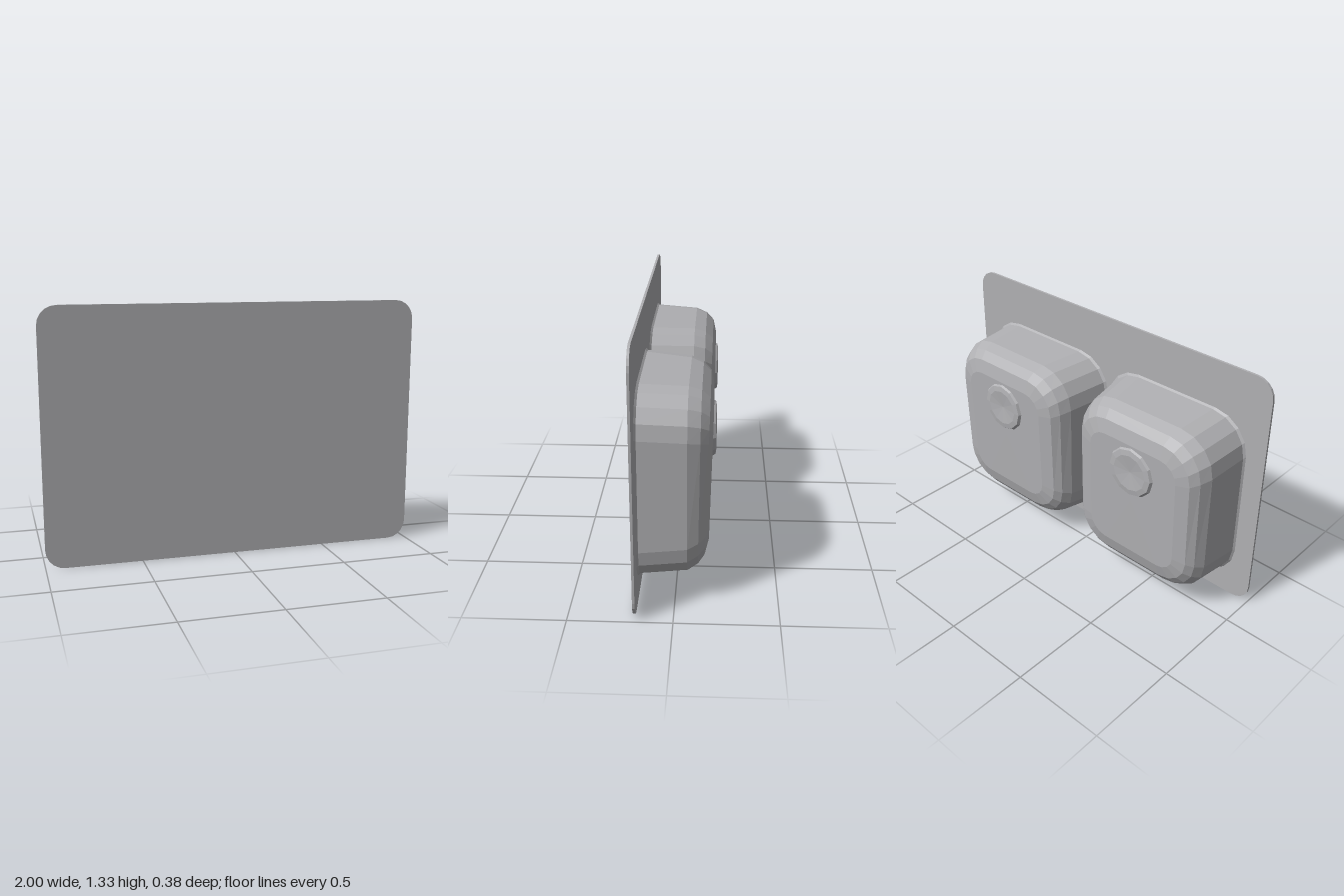
import * as THREE from 'three';

const steel = new THREE.MeshStandardMaterial({ color: 0xb0b0b3, flatShading: true });
steel.name = 'brushedSteel';

// Rounded rectangle as a counter-clockwise list of [x, y]
function roundedLoop(x0, x1, y0, y1, r, segments) {
  const corners = [[x1 - r, y0 + r], [x1 - r, y1 - r], [x0 + r, y1 - r], [x0 + r, y0 + r]];
  const points = [];
  corners.forEach(([cx, cy], c) => {
    for (let i = 0; i <= segments; i++) {
      const a = (c - 1 + i / segments) * Math.PI / 2;
      points.push([cx + r * Math.cos(a), cy + r * Math.sin(a)]);
    }
  });
  return points;
}

// Basin levels from rim to floor: z, inner x, outer x, bottom y, top y, corner radius, floor slope weight
const levels = [
  [0.18, 0.003, 0.895, 0.094, 1.082, 0.2, 0],
  [0.168, 0.015, 0.885, 0.102, 1.072, 0.2, 0],
  [-0.06, 0.055, 0.87, 0.117, 1.058, 0.2, 0],
  [-0.115, 0.08, 0.845, 0.145, 1.035, 0.19, 0.5],
  [-0.15, 0.115, 0.81, 0.185, 0.995, 0.165, 1],
  [-0.168, 0.19, 0.74, 0.26, 0.92, 0.1, 1],
];

function basinGeometry(side) {
  const loops = levels.map(([z, x0, x1, y0, y1, r, slope]) => {
    const loop = roundedLoop(x0, x1, y0, y1, r, 4)
      .map(([x, y]) => [x * side, y, z - slope * 0.025 * (y - 0.6)]);
    return side < 0 ? loop.reverse() : loop;
  });
  const n = loops[0].length;
  const positions = [];
  const tri = (...corners) => corners.forEach((p) => positions.push(...p));
  for (let i = 0; i < n; i++) {
    const j = (i + 1) % n;
    for (let k = 0; k + 1 < loops.length; k++) {
      const a = loops[k], b = loops[k + 1];
      tri(a[i], b[i], b[j]);
      tri(a[i], b[j], a[j]);
    }
    // Underside of the floor
    const floor = loops[loops.length - 1];
    tri([0.465 * side, 0.59, -0.168], floor[j], floor[i]);
  }
  const geometry = new THREE.BufferGeometry();
  geometry.setAttribute('position', new THREE.Float32BufferAttribute(positions, 3));
  geometry.computeVertexNormals();
  return geometry;
}

export function createModel() {
  const model = new THREE.Group();
  model.name = 'doubleSink';
  const add = (name, geometry) => {
    const mesh = new THREE.Mesh(geometry, steel);
    mesh.name = name;
    model.add(mesh);
    return mesh;
  };

  // Thin mounting plate with rounded corners
  const outline = roundedLoop(-1, 1, 0, 1.333, 0.1, 5).map(([x, y]) => new THREE.Vector2(x, y));
  add('plate', new THREE.ExtrudeGeometry(new THREE.Shape(outline), { depth: 0.012, bevelEnabled: false }))
    .position.z = 0.178;

  // Shallow drain boss with a dished centre
  const drain = new THREE.LatheGeometry(
    [[0.145, 0], [0.13, 0.022], [0.1, 0.026], [0, 0.016]].map(([x, y]) => new THREE.Vector2(x, y)), 12);
  drain.rotateX(-Math.PI / 2);

  for (const [label, side] of [['left', 1], ['right', -1]]) {
    add(label + 'Basin', basinGeometry(side));
    add(label + 'Drain', drain).position.set(0.465 * side, 0.77, -0.164);
  }
  return model;
}
